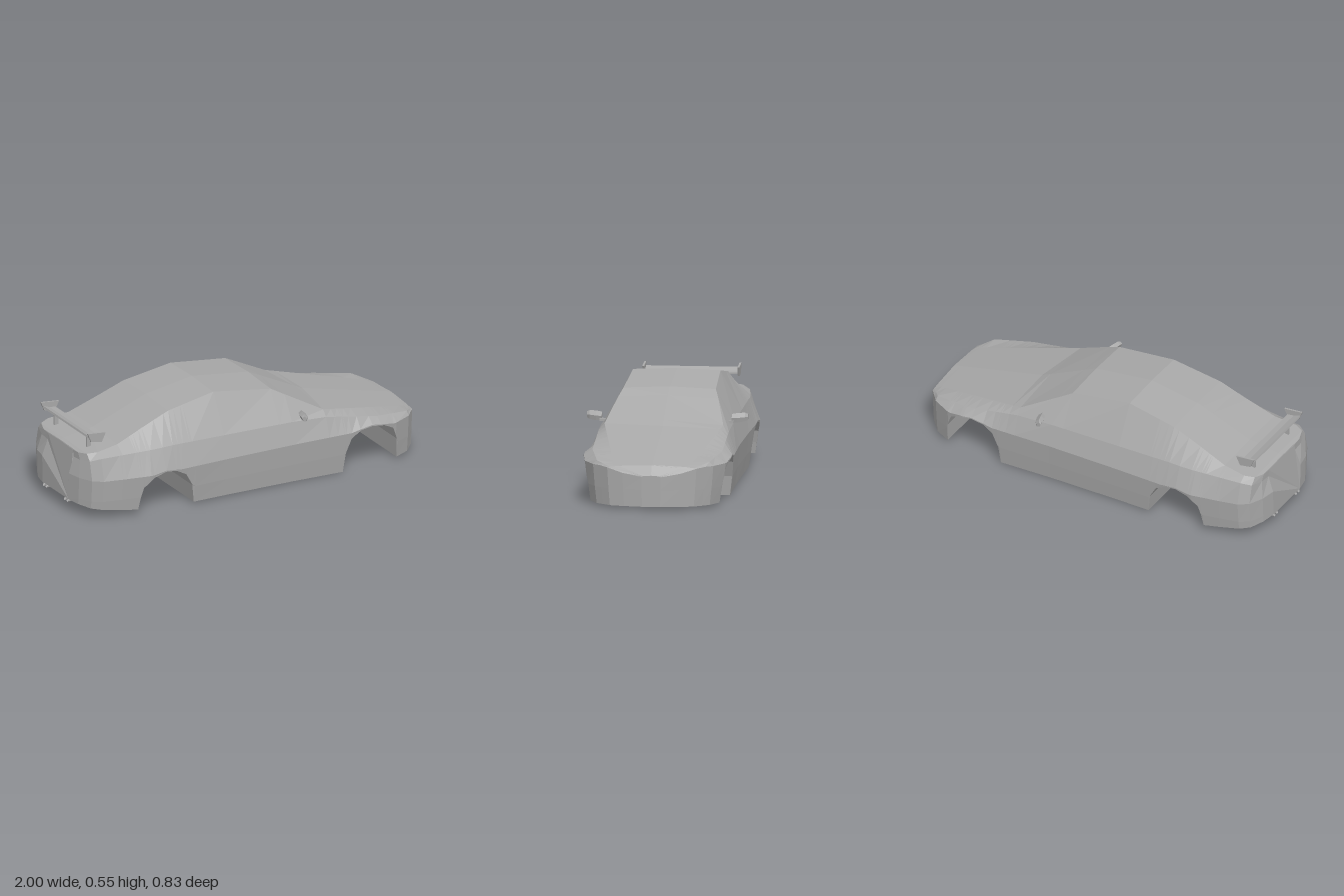
import * as THREE from 'three';

const paint = new THREE.MeshStandardMaterial({ color: 0xa8a8a8, side: THREE.DoubleSide });
paint.name = 'grey paint';

// Linear lookup in a list of [x, value] pairs
function at(curve, x) {
  for (let i = 1; i < curve.length; i++) {
    const [x0, v0] = curve[i - 1], [x1, v1] = curve[i];
    if (x <= x1) return v0 + (v1 - v0) * Math.max(0, (x - x0) / (x1 - x0));
  }
  return curve[curve.length - 1][1];
}

// Lower edge of the body, including both wheel arches
const bottom = [[-1, 0.07], [-0.95, 0.06], [-0.71, 0.03], [-0.70, 0.09], [-0.685, 0.15], [-0.63, 0.2], [-0.56, 0.22],
  [-0.5, 0.213], [-0.44, 0.18], [-0.4, 0.11], [-0.385, 0.01], [0.49, 0], [0.5, 0.1], [0.53, 0.18], [0.58, 0.22],
  [0.65, 0.232], [0.72, 0.222], [0.78, 0.19], [0.808, 0.12], [0.815, 0.013], [1, 0.013]];
// Half width at the widest line
const wide = [[-1, 0.14], [-0.985, 0.22], [-0.95, 0.295], [-0.9, 0.33], [-0.8, 0.352], [-0.65, 0.38], [-0.2, 0.37],
  [0.2, 0.368], [0.7, 0.38], [0.8, 0.362], [0.9, 0.31], [0.965, 0.23], [0.985, 0.15], [1, 0.05]];
// Shoulder line, roof or bonnet edge, and centre line
const beltY = [[-1, 0.3], [-0.9, 0.33], [-0.5, 0.34], [0.35, 0.325], [0.7, 0.262], [0.9, 0.235], [0.965, 0.212], [1, 0.17]];
const beltZ = [[-1, 0.135], [-0.985, 0.2], [-0.95, 0.27], [-0.9, 0.3], [-0.6, 0.335], [0.3, 0.335], [0.7, 0.335],
  [0.9, 0.29], [0.965, 0.215], [1, 0.045]];
const edgeY = [[-1, 0.335], [-0.95, 0.348], [-0.78, 0.372], [-0.47, 0.49], [-0.2, 0.537], [0.13, 0.492], [0.4, 0.348],
  [0.93, 0.226], [0.965, 0.218], [1, 0.172]];
const edgeZ = [[-1, 0.13], [-0.97, 0.23], [-0.9, 0.262], [-0.6, 0.24], [-0.2, 0.225], [0.13, 0.238], [0.38, 0.31],
  [0.93, 0.2], [0.965, 0.17], [1, 0.04]];
const topY = [[-1, 0.34], [-0.95, 0.352], [-0.78, 0.38], [-0.47, 0.5], [-0.2, 0.545], [0.13, 0.502], [0.45, 0.347],
  [0.97, 0.224], [1, 0.175]];

// Closed ring: left sill up and over the roof to the right sill
function section(x) {
  const b = at(bottom, x), w = at(wide, x), by = at(beltY, x);
  const half = [
    [b, w * (0.935 + 0.065 * Math.min(1, b / 0.22))],
    [Math.max(0.1, b + 0.003), w * (0.97 + 0.03 * Math.max(0, Math.min(1, (b - 0.1) / 0.12)))],
    [Math.min(Math.max(0.215, b + 0.006), by - 0.003), w],
    [by, at(beltZ, x)],
    [at(edgeY, x), at(edgeZ, x)],
  ];
  const full = [...half, [at(topY, x), 0], ...half.slice().reverse().map(([y, z]) => [y, -z])];
  // The boot panel sits slightly ahead of the rear bumper
  return full.map(([y, z]) => new THREE.Vector3(y > 0.217 ? Math.max(x, -0.97 + (x + 1) * 0.1) : x, y, z));
}

// Flat-shaded mesh from a list of corner points, three per triangle
function facets(name, corners) {
  const geometry = new THREE.BufferGeometry().setFromPoints(corners);
  geometry.computeVertexNormals();
  const mesh = new THREE.Mesh(geometry, paint);
  mesh.name = name;
  return mesh;
}

function fan(ring) {
  const out = [];
  for (let j = 1; j < ring.length - 1; j++) out.push(ring[0], ring[j], ring[j + 1]);
  return out;
}

function buildBody() {
  const group = new THREE.Group();
  group.name = 'body';
  const stations = [...new Set([...bottom, ...wide, ...topY, [0.4], [0.93]].map((p) => p[0]))].sort((a, b) => a - b);
  const rings = stations.map(section);
  const shell = [], under = [];
  for (let i = 0; i < rings.length - 1; i++) {
    const a = rings[i], b = rings[i + 1], n = a.length;
    for (let j = 0; j < n - 1; j++) shell.push(a[j], b[j], b[j + 1], a[j], b[j + 1], a[j + 1]);
    // Wheel wells run right across; the cabin stays open below
    const mid = (stations[i] + stations[i + 1]) / 2;
    if (mid < -0.385 || mid > 0.49) under.push(a[n - 1], b[n - 1], b[0], a[n - 1], b[0], a[0]);
  }
  group.add(facets('bodyShell', shell), facets('wheelWells', under));
  group.add(facets('rearPanel', fan(rings[0])));
  group.add(facets('nosePanel', fan(rings[rings.length - 1].slice().reverse())));
  return group;
}

function box(name, size, position) {
  const mesh = new THREE.Mesh(new THREE.BoxGeometry(...size), paint);
  mesh.name = name;
  mesh.position.set(...position);
  return mesh;
}

// Side outline in x and y, given a thickness along z
function plate(name, points, depth, z) {
  const shape = new THREE.Shape(points.map(([x, y]) => new THREE.Vector2(x, y)));
  const geometry = new THREE.ExtrudeGeometry(shape, { depth, bevelEnabled: false });
  geometry.translate(0, 0, z - depth / 2);
  const mesh = new THREE.Mesh(geometry, paint);
  mesh.name = name;
  return mesh;
}

function buildSpoiler() {
  const group = new THREE.Group();
  group.name = 'spoiler';
  const wing = [[-0.94, 0.43], [-0.9, 0.416], [-0.865, 0.414], [-0.865, 0.422], [-0.9, 0.426], [-0.937, 0.44]];
  group.add(plate('wingBlade', wing, 0.49, 0));
  for (const s of [-1, 1]) {
    group.add(plate('wingEndPlate', [[-0.93, 0.412], [-0.868, 0.402], [-0.845, 0.45], [-0.95, 0.46]], 0.01, s * 0.245));
    group.add(box('wingPost', [0.022, 0.07, 0.01], [-0.902, 0.385, s * 0.17]));
  }
  return group;
}

// Tapered pod leaning back toward its tip, on a short stalk
function buildMirror(s) {
  const group = new THREE.Group();
  group.name = s > 0 ? 'mirrorNear' : 'mirrorFar';
  const outline = [[-0.03, 0.012], [-0.005, 0.028], [0.03, 0.004], [0.022, -0.022], [-0.015, -0.015]];
  const cuts = [[0.335, 0.257, 0.362, 0.8], [0.365, 0.248, 0.362, 0.95], [0.4, 0.238, 0.365, 0.85], [0.415, 0.23, 0.365, 0.6]];
  const rings = cuts.map(([z, x, y, k]) => outline.map(([dx, dy]) => new THREE.Vector3(x + dx * k * 0.75, y + dy * k, z * s)));
  const corners = [...fan(rings[0]), ...fan(rings[3])];
  for (let i = 0; i < 3; i++) for (let j = 0; j < 5; j++) {
    const k = (j + 1) % 5, a = rings[i], b = rings[i + 1];
    corners.push(...(s > 0 ? [a[j], b[k], b[j], a[j], a[k], b[k]] : [a[j], b[j], b[k], a[j], b[k], a[k]]));
  }
  group.add(facets('mirrorPod', corners));
  group.add(box('mirrorStalk', [0.025, 0.014, 0.05], [0.268, 0.346, s * 0.32]));
  return group;
}

function buildExhausts() {
  const group = new THREE.Group();
  group.name = 'exhausts';
  for (const s of [-1, 1]) for (const d of [-0.014, 0.014]) {
    const geometry = new THREE.CylinderGeometry(0.009, 0.009, 0.07, 8, 1, true).rotateZ(Math.PI / 2);
    const pipe = new THREE.Mesh(geometry, paint);
    pipe.name = 'exhaustPipe';
    pipe.position.set(-0.965, 0.06, s * 0.11 + d);
    group.add(pipe);
  }
  return group;
}

export function createModel() {
  const model = new THREE.Group();
  model.name = 'carBody';
  model.add(buildBody(), buildSpoiler(), buildMirror(1), buildMirror(-1), buildExhausts());
  return model;
}
